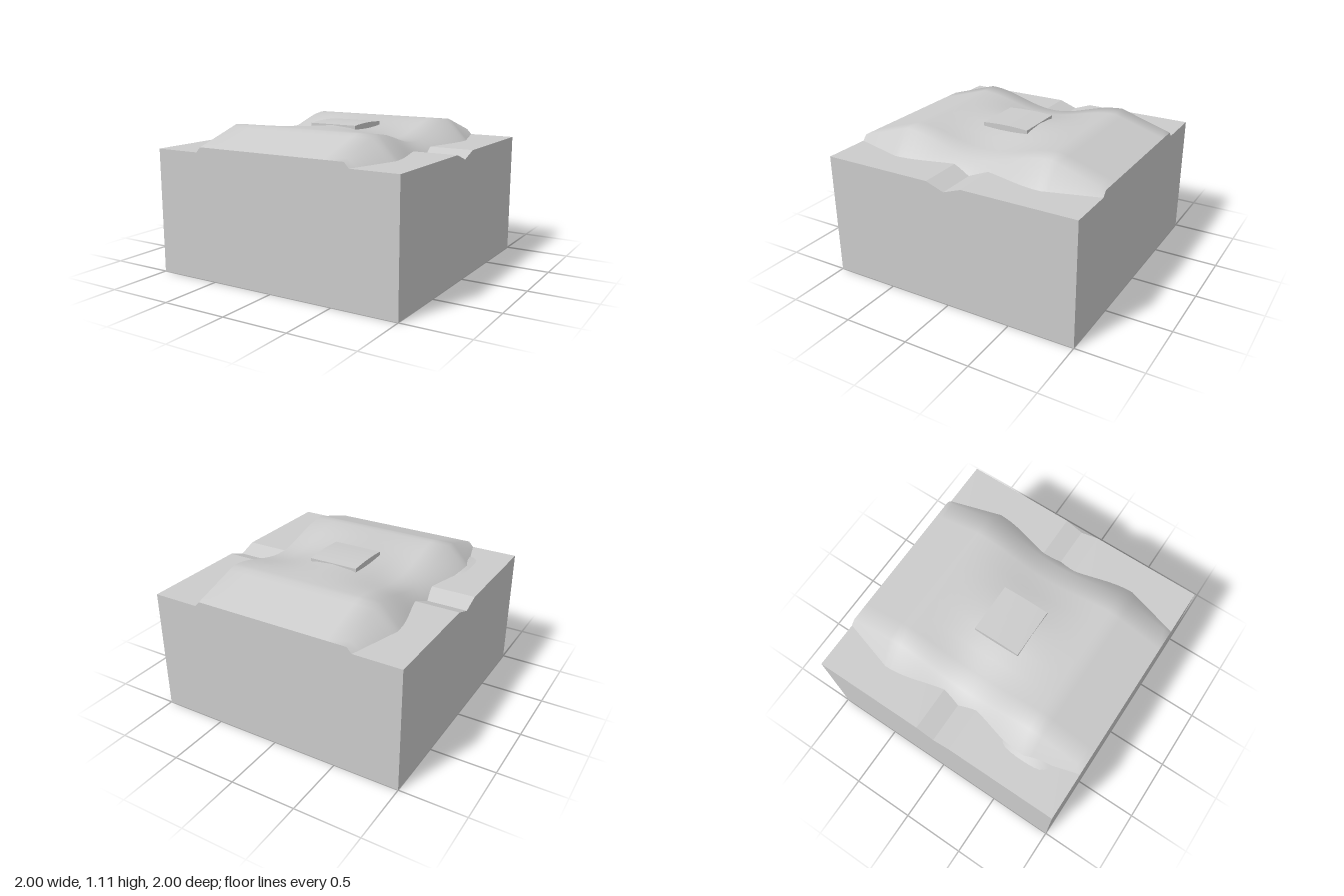
import * as THREE from 'three';

const material = new THREE.MeshStandardMaterial({ color: 0xcccccc, side: THREE.DoubleSide });
const GROUND = 0.945, CEILING = 0.79, FOOT = 0.88, CREST = 1.11;

// Height of the mound's crown: sloping ends, and a saddle that dips towards the sides
function crown(x, z) {
  const a = Math.abs(z);
  if (a >= 0.6) return CREST - (a - 0.6) * 0.3125;
  const s = THREE.MathUtils.smoothstep(Math.abs(x), 0, 0.6);
  return CREST - (0.014 + 0.101 * s) * (Math.cos(Math.PI * a / 0.6) + 1) / 2;
}

// A flat grid whose vertices are moved by rule(x, z) -> [x, y, z]
function surface(nx, nz, rule) {
  const geometry = new THREE.PlaneGeometry(2, 2, nx, nz).rotateX(-Math.PI / 2);
  const p = geometry.attributes.position;
  for (let i = 0; i < p.count; i++) p.setXYZ(i, ...rule(p.getX(i), p.getZ(i)));
  geometry.computeVertexNormals();
  return geometry;
}

function polygon(points) {
  return new THREE.Shape(points.map(([x, y]) => new THREE.Vector2(x, y)));
}

export function createModel() {
  const group = new THREE.Group();
  const add = (name, geometry) => {
    const mesh = new THREE.Mesh(geometry, material);
    mesh.name = name;
    group.add(mesh);
    return mesh;
  };

  // Four thin walls, open underneath
  for (let i = 0; i < 4; i++) {
    const wall = new THREE.PlaneGeometry(2, CEILING);
    wall.translate(0, CEILING / 2, 1).rotateY(i * Math.PI / 2);
    add('wall', wall);
  }

  // Ground slab with a V-shaped channel running across it
  const slab = new THREE.ExtrudeGeometry(polygon([
    [-1, CEILING], [1, CEILING], [1, GROUND], [0.14, GROUND],
    [0, 0.895], [-0.14, GROUND], [-1, GROUND],
  ]), { depth: 2, bevelEnabled: false });
  add('groundSlab', slab.translate(0, 0, -1).rotateY(Math.PI / 2));

  // Smooth mound: crown between x = -0.6 and 0.6, then a skirt sinking into the ground
  add('mound', surface(10, 40, (u, z) => {
    const x = THREE.MathUtils.clamp(u * 0.75, -0.6, 0.6);
    const k = Math.max(0, (Math.abs(u) - 0.8) / 0.2);
    const drop = k * (crown(x, z) - FOOT);
    return [x + Math.sign(u) * drop / 1.07, crown(x, z) - drop, z];
  }));

  // Upright ends of the mound, flush with the front and back walls
  const end = crown(0, 1), foot = 0.6 + (end - GROUND) / 1.07;
  for (const side of [0, 1]) {
    const cap = new THREE.ShapeGeometry(polygon([
      [-foot, GROUND], [foot, GROUND], [0.6, end], [-0.6, end],
    ]));
    add('moundEnd', cap.translate(0, 0, 1).rotateY(side * Math.PI));
  }

  // Low swelling at the foot of the mound on one side
  const swelling = surface(4, 10, (u, v) => [
    -0.71 + u * 0.09,
    0.94 + 0.25 * (0.09 + u * 0.09) * (1 - v * v),
    0.6 + v * 0.22,
  ]);
  add('swelling', swelling);

  // Raised pad in the middle with a gently arched top
  const pad = new THREE.BoxGeometry(0.39, 0.08, 0.37, 4, 1, 8);
  pad.translate(0, 1.072, 0);
  const p = pad.attributes.position;
  for (let i = 0; i < p.count; i++) {
    if (p.getY(i) > 1.1) p.setY(i, 1.114 - 0.25 * p.getZ(i) ** 2);
  }
  pad.computeVertexNormals();
  add('centrePad', pad);

  return group;
}
